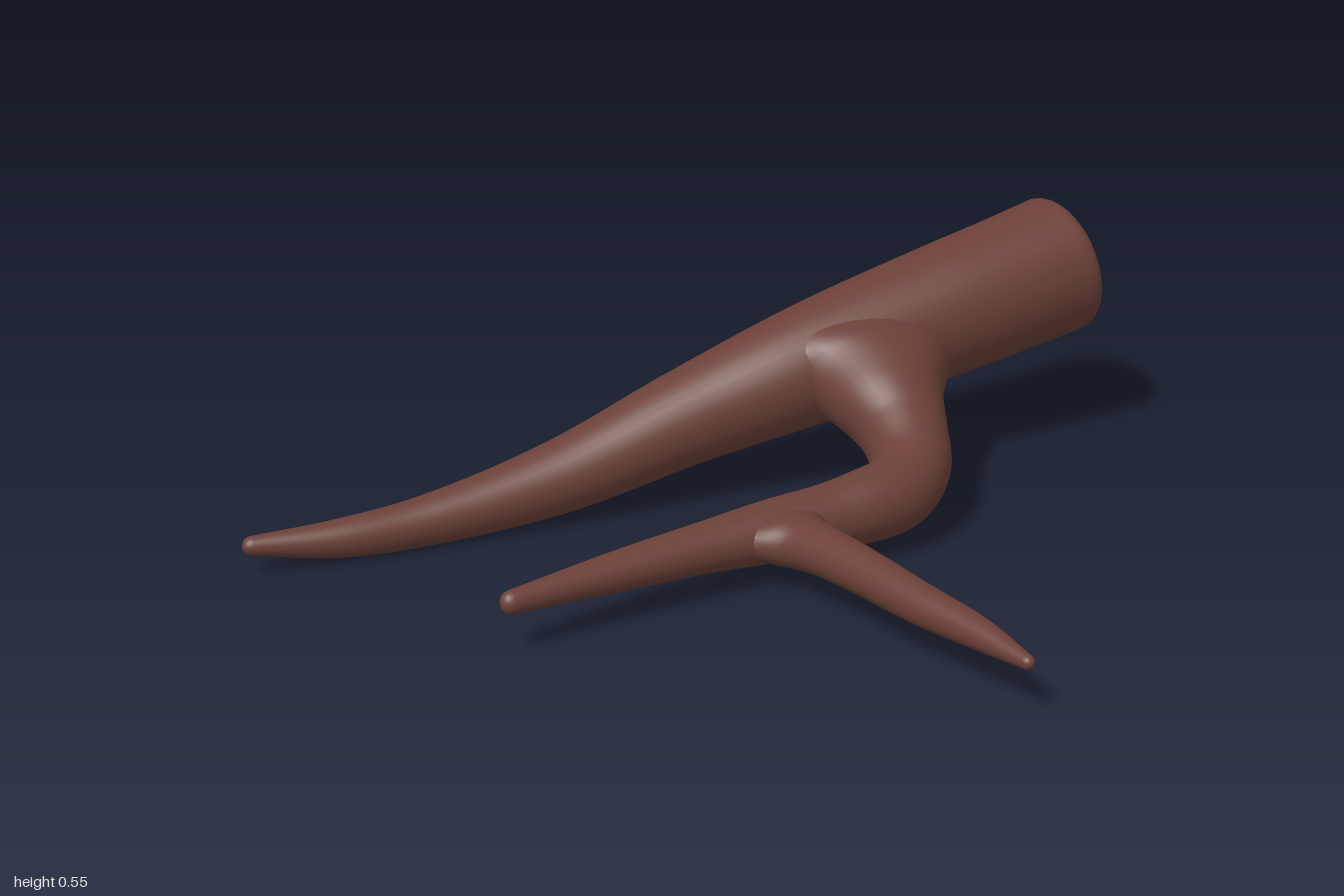
import * as THREE from 'three';

const SIDES = 32;
const UP = new THREE.Vector3(0, 1, 0);

// Sweeps an elliptical section along points [x, y, z, halfWidth, halfHeight],
// closing both ends with a rounded cap of the given bevel (1 = full dome).
function limb(name, points, material, steps, startBevel, endBevel) {
  const spine = new THREE.CatmullRomCurve3(points.map(p => new THREE.Vector3(p[0], p[1], p[2])));
  const sizes = new THREE.CatmullRomCurve3(
    points.map(p => new THREE.Vector3(p[3], p[4] ?? p[3], 0)), false, 'catmullrom');
  const positions = [], indices = [];
  let rings = 0;

  function ring(t, shift, inset, scale = 1) {
    const tangent = spine.getTangent(t);
    const centre = spine.getPoint(t).addScaledVector(tangent, shift);
    const side = UP.clone().cross(tangent).normalize();
    const up = tangent.clone().cross(side);
    const size = sizes.getPoint(t);
    for (let i = 0; i < SIDES; i++) {
      const a = (i / SIDES) * Math.PI * 2;
      const p = centre.clone()
        .addScaledVector(side, Math.cos(a) * (size.x - inset) * scale)
        .addScaledVector(up, Math.sin(a) * (size.y - inset) * scale);
      positions.push(p.x, p.y, p.z);
    }
    rings++;
  }

  function cap(t, sign, bevel) {
    const size = sizes.getPoint(t);
    const b = bevel * Math.min(size.x, size.y);
    const list = [];
    for (let k = 1; k <= 5; k++) {
      const a = (k / 5) * Math.PI / 2;
      list.push([t, sign * b * Math.sin(a), b * (1 - Math.cos(a)), 1]);
    }
    list.push([t, sign * b, b, 0.9], [t, sign * b, b, 0]);
    if (sign < 0) list.reverse();
    list.forEach(args => ring(...args));
  }

  cap(0, -1, startBevel);
  for (let k = 0; k <= steps; k++) ring(k / steps, 0, 0);
  cap(1, 1, endBevel);

  for (let r = 0; r < rings - 1; r++) {
    for (let i = 0; i < SIDES; i++) {
      const j = (i + 1) % SIDES;
      const a = r * SIDES + i, b = r * SIDES + j;
      indices.push(a, b, a + SIDES, b, b + SIDES, a + SIDES);
    }
  }
  const geometry = new THREE.BufferGeometry();
  geometry.setAttribute('position', new THREE.Float32BufferAttribute(positions, 3));
  geometry.setIndex(indices);
  geometry.computeVertexNormals();
  const mesh = new THREE.Mesh(geometry, material);
  mesh.name = name;
  return mesh;
}

export function createModel() {
  const bark = new THREE.MeshStandardMaterial({ color: 0x6b4038 });
  bark.name = 'bark brown';

  const group = new THREE.Group();
  group.name = 'forkedBranch';

  // Thick main limb, from its drooping tip to the sawn butt
  group.add(limb('mainLimb', [
    [-0.98, 0.068, -0.755, 0.021],
    [-0.8, 0.055, -0.705, 0.042],
    [-0.6, 0.06, -0.666, 0.056],
    [-0.3, 0.103, -0.612, 0.082],
    [0, 0.19, -0.553, 0.108],
    [0.3, 0.272, -0.482, 0.137],
    [0.6, 0.335, -0.432, 0.152],
    [0.8, 0.371, -0.409, 0.158],
    [0.945, 0.396, -0.398, 0.163],
  ], bark, 64, 1, 0.18));

  // Side branch: flares out of the main limb, then bends to run alongside it
  group.add(limb('sideBranch', [
    [0.39, 0.295, -0.46, 0.26, 0.11],
    [0.375, 0.265, -0.36, 0.185, 0.125],
    [0.345, 0.232, -0.27, 0.132, 0.112],
    [0.318, 0.19, -0.185, 0.1, 0.096],
    [0.27, 0.145, -0.1, 0.088],
    [0.19, 0.12, -0.053, 0.084],
    [0.1, 0.115, -0.043, 0.08],
    [0, 0.112, -0.052, 0.073, 0.07],
    [-0.13, 0.11, -0.065, 0.072, 0.066],
    [-0.3, 0.11, -0.08, 0.058, 0.053],
    [-0.5, 0.11, -0.089, 0.045, 0.042],
    [-0.76, 0.113, -0.087, 0.023, 0.025],
  ], bark, 88, 0.2, 1));

  // Thin twig: flares out of the side branch and points forward
  group.add(limb('twig', [
    [-0.125, 0.112, -0.06, 0.13, 0.045],
    [-0.125, 0.113, -0.005, 0.095, 0.055],
    [-0.125, 0.115, 0.045, 0.065, 0.055],
    [-0.127, 0.12, 0.12, 0.055, 0.051],
    [-0.132, 0.122, 0.25, 0.048],
    [-0.138, 0.119, 0.42, 0.043],
    [-0.136, 0.117, 0.6, 0.033],
    [-0.145, 0.115, 0.752, 0.015],
  ], bark, 56, 0.2, 1));

  return group;
}
